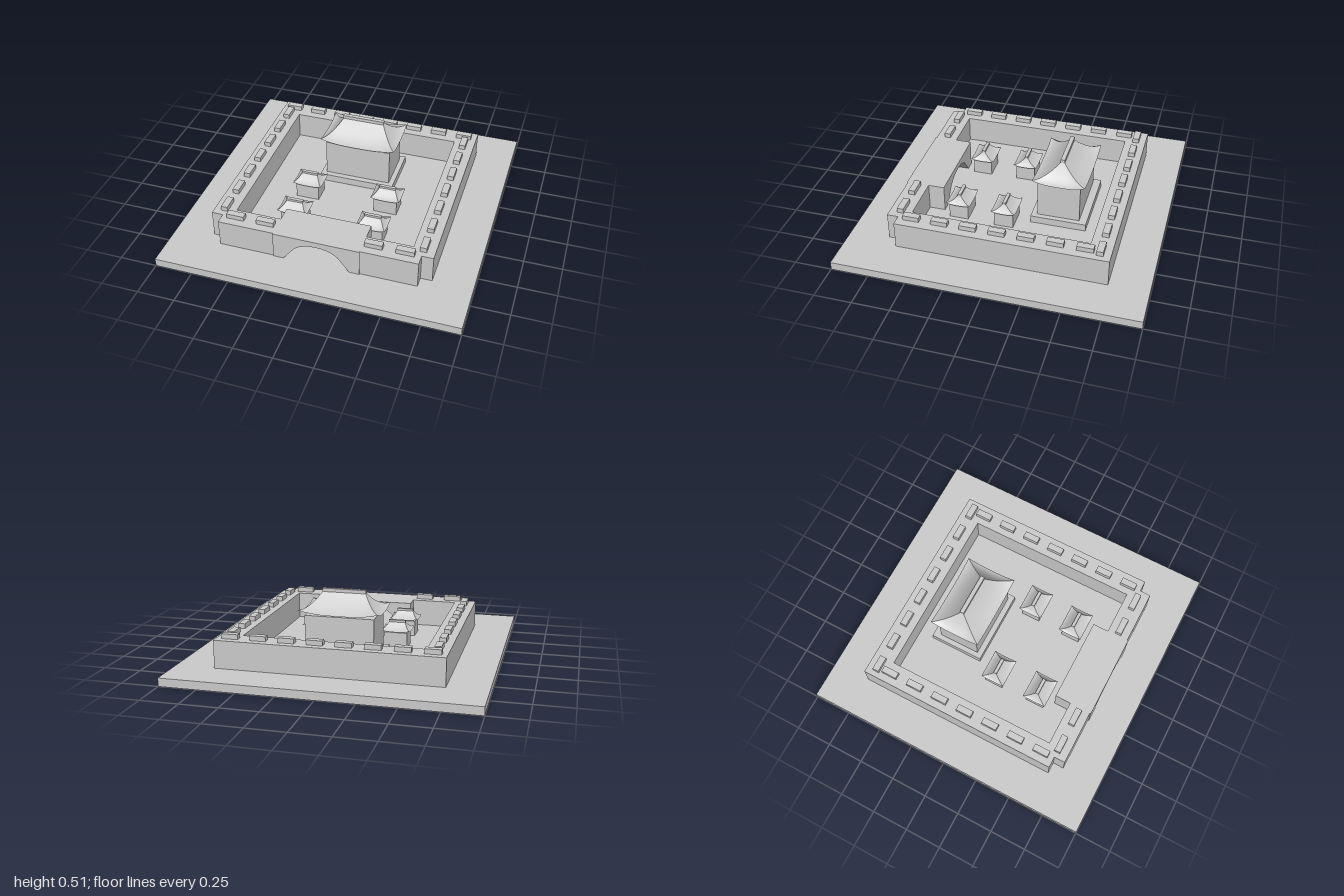
import * as THREE from 'three';

const stone = new THREE.MeshStandardMaterial({ color: 0xcccccc, side: THREE.DoubleSide });
stone.name = 'pale stone';

const GROUND = 0.055, WALL_TOP = 0.24;

function add(parent, name, geometry) {
  const mesh = new THREE.Mesh(geometry, stone);
  mesh.name = name;
  parent.add(mesh);
  return mesh;
}

// Box given by its limits on each axis
function block(parent, name, x0, x1, y0, y1, z0, z1) {
  const mesh = add(parent, name, new THREE.BoxGeometry(x1 - x0, y1 - y0, z1 - z0));
  mesh.position.set((x0 + x1) / 2, (y0 + y1) / 2, (z0 + z1) / 2);
  return mesh;
}

// One concave roof slope facing +z, with upturned corners at the eave
function slopeGeometry(ridgeHalf, eaveHalf, ridgeOut, eaveOut, height, lift) {
  const g = new THREE.PlaneGeometry(2, 1, 12, 8);
  const p = g.attributes.position;
  for (let i = 0; i < p.count; i++) {
    const s = p.getX(i), t = 0.5 - p.getY(i);
    p.setXYZ(i,
      s * THREE.MathUtils.lerp(ridgeHalf, eaveHalf, t),
      height * Math.pow(1 - t, 1.6) + lift * Math.pow(Math.abs(s), 3) * t * t,
      THREE.MathUtils.lerp(ridgeOut, eaveOut, t));
  }
  g.computeVertexNormals();
  return g;
}

// Hipped roof with a ridge bar; eave height at local y = 0
function curvedRoof(hx, hz, ridgeX, ridgeZ, height, lift, bar) {
  const roof = new THREE.Group();
  roof.name = 'curvedRoof';
  for (const turn of [0, 1]) {
    add(roof, 'longSlope', slopeGeometry(ridgeX, hx, ridgeZ, hz, height, lift)).rotation.y = turn * Math.PI;
    add(roof, 'hipSlope', slopeGeometry(ridgeZ, hz, ridgeX, hx, height, lift)).rotation.y = Math.PI / 2 + turn * Math.PI;
  }
  block(roof, 'ridgeBar', -ridgeX - 0.004, ridgeX + 0.004, height - 0.006, height + bar, -ridgeZ - 0.004, ridgeZ + 0.004);
  return roof;
}

export function createModel() {
  const model = new THREE.Group();
  model.name = 'walledCompound';

  block(model, 'groundSlab', -1, 1, 0, GROUND, -1, 1);

  // Outer walls
  const walls = new THREE.Group();
  walls.name = 'outerWalls';
  model.add(walls);
  block(walls, 'backWall', -0.738, 0.738, GROUND, WALL_TOP, -0.738, -0.593);
  for (const side of [-1, 1]) {
    const sx = [0.593 * side, 0.738 * side].sort((a, b) => a - b);
    block(walls, 'sideWall', sx[0], sx[1], GROUND, WALL_TOP, -0.593, 0.66);
    const fx = [0.288 * side, 0.662 * side].sort((a, b) => a - b);
    block(walls, 'frontWall', fx[0], fx[1], GROUND, WALL_TOP, 0.588, 0.735);
  }

  // Gate block with an arched passage
  const halfArch = [[0.22, GROUND], [0.168, 0.122], [0.14, 0.157], [0.108, 0.178], [0.072, 0.192], [0.036, 0.199]];
  const gate = new THREE.Shape();
  gate.moveTo(-0.288, GROUND);
  for (const [x, y] of halfArch) gate.lineTo(-x, y);
  gate.lineTo(0, 0.201);
  for (const [x, y] of [...halfArch].reverse()) gate.lineTo(x, y);
  gate.lineTo(0.288, GROUND);
  gate.lineTo(0.288, WALL_TOP);
  gate.lineTo(-0.288, WALL_TOP);
  gate.closePath();
  add(model, 'archedGate', new THREE.ExtrudeGeometry(gate, { depth: 0.262, bevelEnabled: false })).position.z = 0.48;

  // Battlements along the wall tops
  const battlements = new THREE.Group();
  battlements.name = 'battlements';
  model.add(battlements);
  const merlon = (x, z, w, d) =>
    block(battlements, 'merlon', x - w / 2, x + w / 2, WALL_TOP, 0.272, z - d / 2, z + d / 2);
  for (let i = 0; i < 8; i++) merlon(-0.649 + i * 0.185, -0.669, 0.106, 0.044);
  for (let i = 0; i < 7; i++)
    for (const x of [-0.668, 0.662]) merlon(x, -0.574 + i * 0.19, 0.044, 0.109);
  for (const x of [-0.567, -0.363, 0.357, 0.561]) merlon(x, 0.66, 0.118, 0.043);

  // Main hall on its plinth
  const hall = new THREE.Group();
  hall.name = 'mainHall';
  hall.position.z = -0.3;
  model.add(hall);
  block(hall, 'plinth', -0.262, 0.262, GROUND, 0.105, -0.192, 0.184);
  block(hall, 'hallBody', -0.228, 0.228, 0.105, 0.358, -0.141, 0.146);
  const hallRoof = curvedRoof(0.264, 0.177, 0.141, 0.01, 0.122, 0.026, 0.018);
  hallRoof.position.y = 0.373;
  hall.add(hallRoof);

  // Four small pavilions in the courtyard
  for (const [x, z] of [[-0.28, 0.045], [0.275, 0.045], [-0.275, 0.36], [0.265, 0.36]]) {
    const pavilion = new THREE.Group();
    pavilion.name = 'pavilion';
    pavilion.position.set(x, 0, z);
    block(pavilion, 'pavilionBody', -0.08, 0.08, GROUND, 0.16, -0.065, 0.065);
    const roof = curvedRoof(0.1, 0.082, 0.053, 0.007, 0.056, 0.011, 0.01);
    roof.position.y = 0.167;
    pavilion.add(roof);
    model.add(pavilion);
  }

  return model;
}
